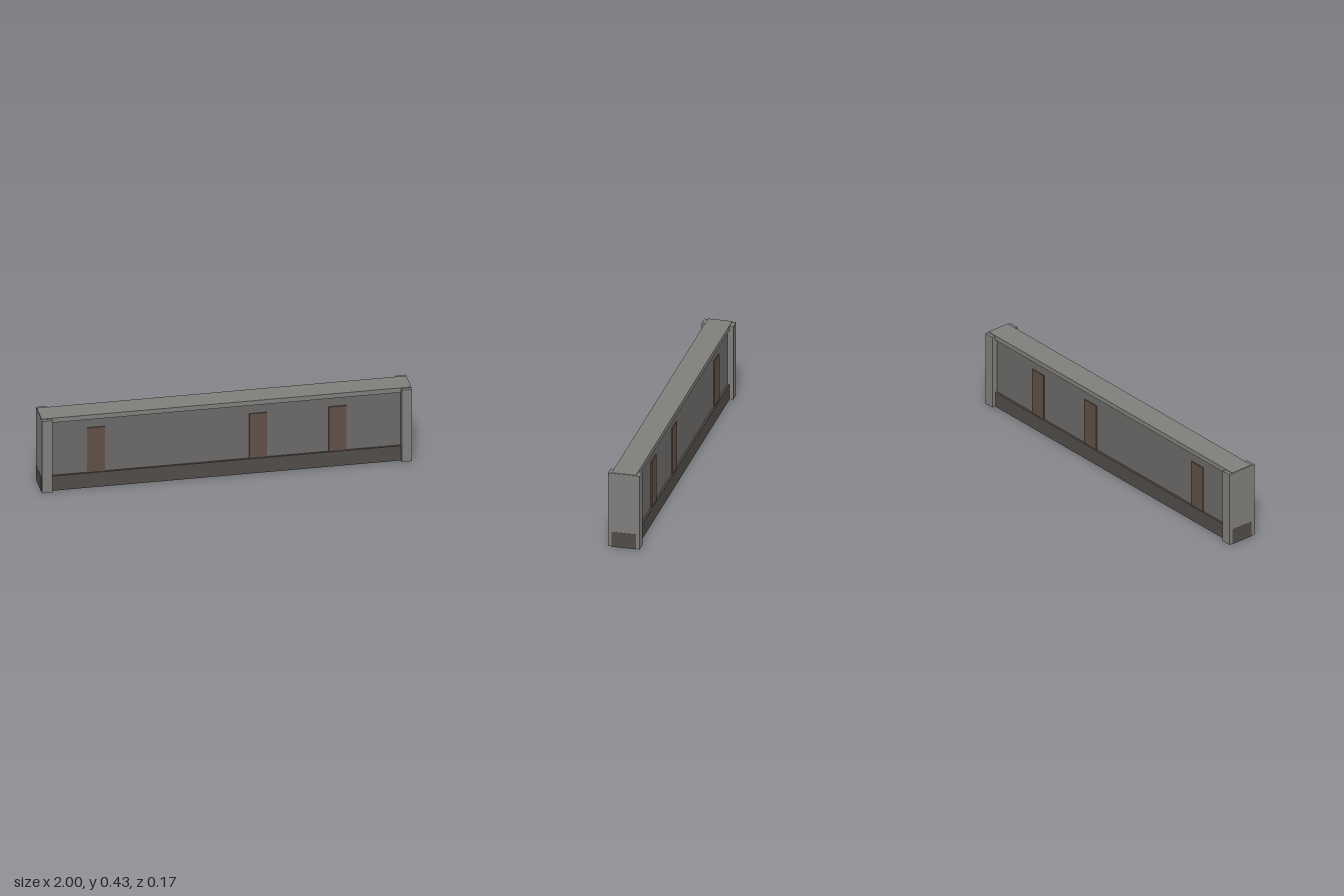
import * as THREE from 'three';

export function createModel() {
  const group = new THREE.Group();
  group.name = 'wallSection';

  const mat = (color) => new THREE.MeshStandardMaterial({ color });
  const stone = mat(0x807e7b);
  const panel = mat(0x6b6967);
  const dark = mat(0x4f4b49);
  const rust = mat(0x5f4f46);

  // Box given by its x and y ranges and its depth, centred on z = 0
  function box(name, x0, x1, y0, y1, depth, material) {
    const mesh = new THREE.Mesh(new THREE.BoxGeometry(x1 - x0, y1 - y0, depth), material);
    mesh.position.set((x0 + x1) / 2, (y0 + y1) / 2, 0);
    mesh.name = name;
    group.add(mesh);
  }

  // Long horizontal layers: plinth, recessed wall and coping
  box('plinth', -1, 1, 0, 0.087, 0.132, dark);
  box('wallPanel', -0.97, 0.97, 0.08, 0.41, 0.11, panel);
  box('coping', -0.998, 0.998, 0.405, 0.432, 0.134, stone);

  // End pillars, a hair inside the plinth ends
  box('leftPillar', 0.943, 0.999, 0.001, 0.428, 0.174, stone);
  box('rightPillar', -0.999, -0.943, 0.001, 0.428, 0.174, stone);

  // Rusty patches running through the wall, slightly proud on both faces
  for (const x of [-0.702, 0.173, 0.602]) {
    box('rustPatch', x - 0.048, x + 0.048, 0.084, 0.352, 0.122, rust);
  }

  return group;
}
